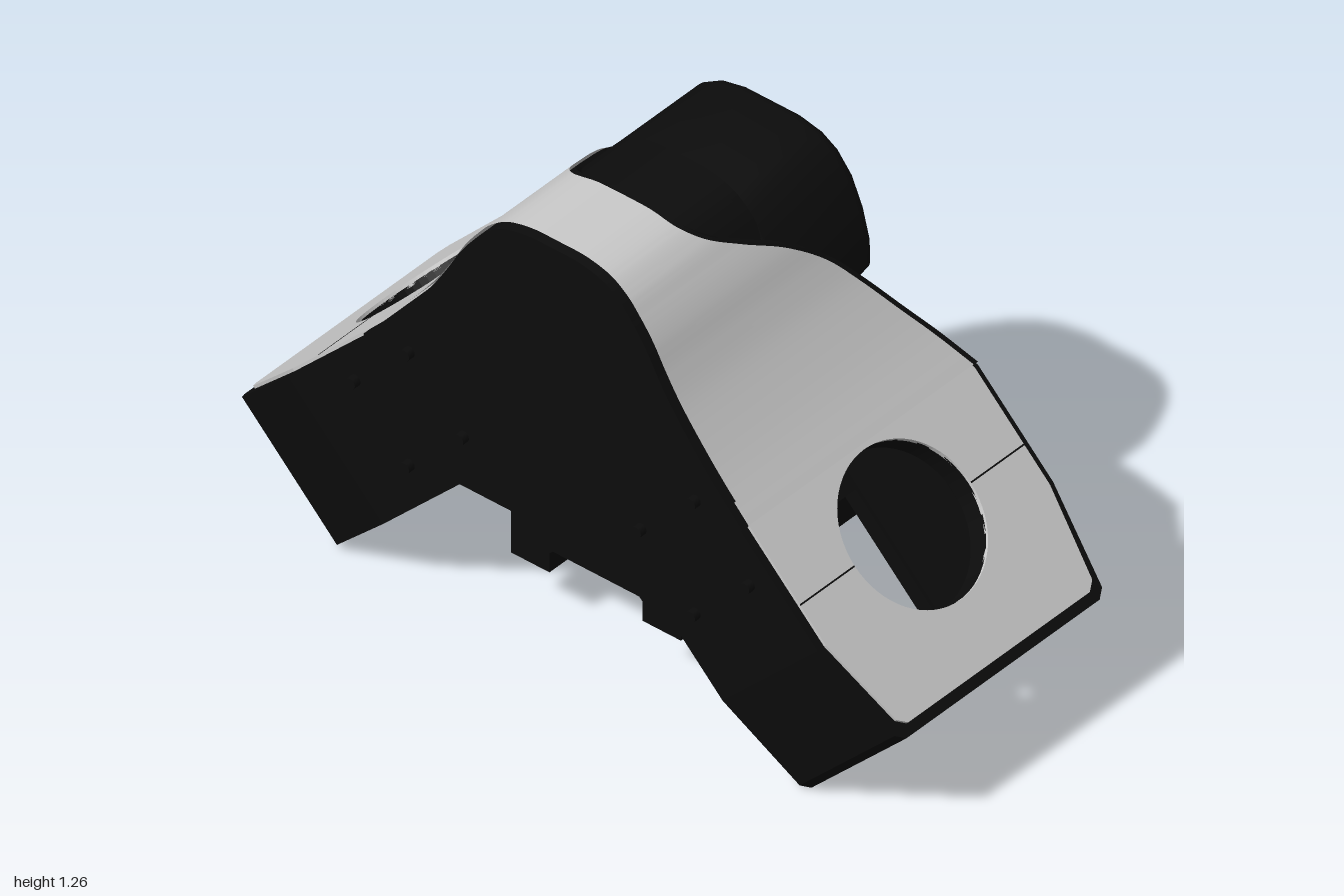
import * as THREE from 'three';
import { toCreasedNormals } from 'three/addons/utils/BufferGeometryUtils.js';

export function createModel() {
  const root = new THREE.Group();
  const black = new THREE.MeshStandardMaterial({ color: 0x0c0c0c });
  const grey = new THREE.MeshStandardMaterial({ color: 0xcccccc });
  const greyThin = new THREE.MeshStandardMaterial({ color: 0xcccccc, side: THREE.DoubleSide });

  const add = (parent, name, geo, mat = black) => {
    const m = new THREE.Mesh(geo, mat);
    m.name = name;
    parent.add(m);
    return m;
  };
  const box = (parent, name, x0, x1, y0, y1, z0, z1) =>
    add(parent, name, new THREE.BoxGeometry(x1 - x0, y1 - y0, z1 - z0)
      .translate((x0 + x1) / 2, (y0 + y1) / 2, (z0 + z1) / 2));
  const shapeOf = (pts) => new THREE.Shape(pts.map(([a, b]) => new THREE.Vector2(a, b)));
  const extrude = (shape, depth) =>
    new THREE.ExtrudeGeometry(shape, { depth, bevelEnabled: false, curveSegments: 32 });

  const FRONT = 0.443, REAR = -0.39;
  const BORE_Y = 0.96, BORE_R = 0.215;

  // ---- Hump: half outline as (half width, height, rear depth) ----
  const outline = new THREE.CatmullRomCurve3([
    [0.57, 0.72, -0.39], [0.495, 0.8, -0.34], [0.435, 0.87, -0.29], [0.365, 0.96, -0.225],
    [0.32, 1.03, -0.165], [0.28, 1.1, -0.07], [0.24, 1.155, 0.04], [0.2, 1.2, 0.125],
    [0.15, 1.233, 0.165], [0.08, 1.25, 0.17], [0, 1.252, 0.17],
  ].map((p) => new THREE.Vector3(...p)));
  const half = outline.getPoints(80);

  // Skin neighbouring rows of points, open or closed around
  const loft = (rows, closed) => {
    const n = rows[0].length;
    const index = [];
    for (let k = 0; k < rows.length - 1; k++) {
      for (let i = 0; i < (closed ? n : n - 1); i++) {
        const j = (i + 1) % n;
        const a = k * n + i, b = k * n + j, c = b + n, d = a + n;
        index.push(a, b, c, a, c, d);
      }
    }
    const g = new THREE.BufferGeometry();
    g.setAttribute('position', new THREE.Float32BufferAttribute(rows.flat(2), 3));
    g.setIndex(index);
    return toCreasedNormals(g, 0.5);
  };

  // Solid core, rear face scooped forward towards the top, with a round bore
  add(root, 'humpCore', loft(half.map(({ x, y, z }) => {
    const n = Math.sqrt(Math.max(0, BORE_R ** 2 - (y - BORE_Y) ** 2));
    const floor = Math.max(z, -0.19);
    return [[x, y, FRONT], [x, y, z], [n, y, z], [n, y, floor],
      [-n, y, floor], [-n, y, z], [-x, y, z], [-x, y, FRONT]];
  }), true));
  box(root, 'cavityCeiling', -0.54, 0.54, 0.715, 0.735, -0.2, 0.2);

  // Grey cover strip over the hump, meeting both arm covers
  const strip = [...half, ...half.slice(0, -1).reverse().map((p) => new THREE.Vector3(-p.x, p.y, p.z))];
  add(root, 'humpCover', loft(strip.map(({ x, y, z }) => {
    const k = x + Math.sign(x) * Math.min(1, Math.abs(x) / 0.25) * 0.004;
    return [[k, y + 0.006, 0.42], [k, y + 0.006, z + 0.02]];
  }), false), greyThin);

  // ---- Central front and rear walls and cavity floor ----
  const wall = shapeOf([[-0.28, 0.43], [0.28, 0.43], [0.57, 0.72], [-0.57, 0.72]]);
  add(root, 'frontWall', extrude(wall, FRONT - 0.18).translate(0, 0, 0.18));
  add(root, 'rearWall', extrude(wall, 0.21).translate(0, 0, REAR));
  box(root, 'cavityFloor', -0.29, 0.29, 0.43, 0.475, -0.2, 0.2);

  // ---- Arms: local x runs outward and down, local y is the outer normal ----
  const plate = (parent, name, pts, y0, y1, mat, hole) => {
    const s = shapeOf(pts);
    if (hole) s.holes.push(hole);
    return add(parent, name, extrude(s, y1 - y0).rotateX(Math.PI / 2).translate(0, y1, 0), mat);
  };
  const circle = () => new THREE.Path().absarc(0.11, 0.022, 0.205, 0, Math.PI * 2, true);
  const rect = (a, b, c, d) => shapeOf([[a, c], [a, d], [b, d], [b, c]]);
  // Tapered plan outline of an arm
  const plan = (u0, u1, zb, zf) => [[u0, zb + (u0 < -0.12 ? 0.03 : 0)], [-0.1, zb], [0.22, zb],
    [u1 - 0.02, zb + 0.045], [u1, zb + 0.07], [u1, zf - 0.08], [u1 - 0.02, zf - 0.055], [0.22, zf], [u0, zf]];

  for (const side of [1, -1]) {
    const mirror = new THREE.Group();
    mirror.name = side > 0 ? 'leftArm' : 'rightArm';
    mirror.scale.x = side;
    root.add(mirror);
    const arm = new THREE.Group();
    arm.name = 'armBody';
    arm.rotation.z = -Math.PI / 4;
    mirror.add(arm);

    plate(arm, 'outerSkin', plan(-0.17, 0.502, REAR, FRONT), 0.84, 0.906, black, circle());
    plate(arm, 'armCover', plan(-0.17, 0.474, -0.372, 0.42), 0.9, 0.914, grey, circle());
    plate(arm, 'underSkin', plan(-0.115, 0.502, REAR, FRONT), 0.502, 0.55, black, rect(0, 0.38, -0.17, 0.18));
    plate(arm, 'armFrontWall', [[-0.115, 0.18], [0.502, 0.18], [0.502, 0.363], [0.482, 0.388],
      [0.22, FRONT], [-0.115, FRONT]], 0.55, 0.84, black);
    plate(arm, 'armRearWall', [[-0.115, REAR], [0.22, REAR], [0.482, -0.345], [0.502, -0.32],
      [0.502, -0.18], [-0.115, -0.18]], 0.55, 0.84, black);

    // End cap with a wide slot
    const cap = shapeOf([[-0.2, 0.52], [0.2, 0.52], [0.2, 0.88], [-0.2, 0.88]]);
    cap.holes.push(rect(-0.18, 0.13, 0.63, 0.855));
    add(arm, 'endCap', extrude(cap, 0.05).rotateY(Math.PI / 2).translate(0.451, 0, 0));

    // Cover seam, broken by the round opening
    box(arm, 'coverSeam', 0.108, 0.112, 0.912, 0.9148, 0.228, 0.42);
    box(arm, 'coverSeam', 0.108, 0.112, 0.912, 0.9148, -0.372, -0.184);

    // Four small pegs on the front face
    for (let i = 0; i < 4; i++) {
      const a = i * Math.PI / 2;
      add(mirror, 'frontPeg', new THREE.CylinderGeometry(0.015, 0.015, 0.04, 16).rotateX(Math.PI / 2)
        .translate(0.43 + 0.163 * Math.cos(a), 0.575 + 0.163 * Math.sin(a), 0.443));
    }
    // Hanger plate of the rail
    box(mirror, 'railHanger', 0.192, 0.24, 0.29, 0.44, -0.3, 0.2);
  }

  // ---- Rear hood: an arch around the bore, with a rounded, leaning rim ----
  const side = [[0.3, 0.89], [0.325, 0.93], [0.315, 0.99], [0.285, 1.06], [0.245, 1.13],
    [0.2, 1.185], [0.15, 1.215], [0.08, 1.23]];
  const arch = shapeOf([...side, ...side.slice().reverse().map(([x, y]) => [-x, y])]);
  const low = Math.asin((0.89 - BORE_Y) / BORE_R);
  arch.absarc(0, BORE_Y, BORE_R - 0.005, Math.PI - low, low, true);
  const hood = new THREE.ExtrudeGeometry(arch, {
    depth: 0.29, bevelThickness: 0.03, bevelSize: 0.02, bevelOffset: -0.02, bevelSegments: 4, curveSegments: 32,
  }).translate(0, 0, -0.31);
  const p = hood.attributes.position;
  for (let i = 0; i < p.count; i++) {
    if (p.getZ(i) < -0.2) p.setZ(i, p.getZ(i) + Math.max(0, 1.1 - p.getY(i)) * 0.16);
  }
  add(root, 'rearHood', toCreasedNormals(hood, 0.6));

  // Collar joining hood and hump
  const collar = half.filter((q) => q.y > 0.95).map((q) => [q.x * 0.95, q.y - 0.005]);
  const collarShape = shapeOf([...collar, ...collar.slice(0, -1).reverse().map(([x, y]) => [-x, y])]);
  add(root, 'hoodCollar', toCreasedNormals(extrude(collarShape, 0.22).translate(0, 0, -0.02), 0.5));

  // Round window at the bottom of the bore
  add(root, 'windowDisc', new THREE.CylinderGeometry(0.213, 0.213, 0.16, 48).rotateX(Math.PI / 2)
    .translate(0, BORE_Y, -0.12));
  add(root, 'windowLens', new THREE.SphereGeometry(0.15, 32, 12).scale(1, 1, 0.25).translate(0, BORE_Y, -0.195));

  // ---- Grooved mounting rail underneath ----
  const rail = shapeOf([[-0.255, 0.155], [-0.14, 0.155], [-0.14, 0.21], [-0.13, 0.22], [0.13, 0.22],
    [0.14, 0.21], [0.14, 0.155], [0.255, 0.155], [0.255, 0.3], [-0.255, 0.3]]);
  add(root, 'mountingRail', extrude(rail, 0.755).translate(0, 0, -0.465));

  return root;
}
